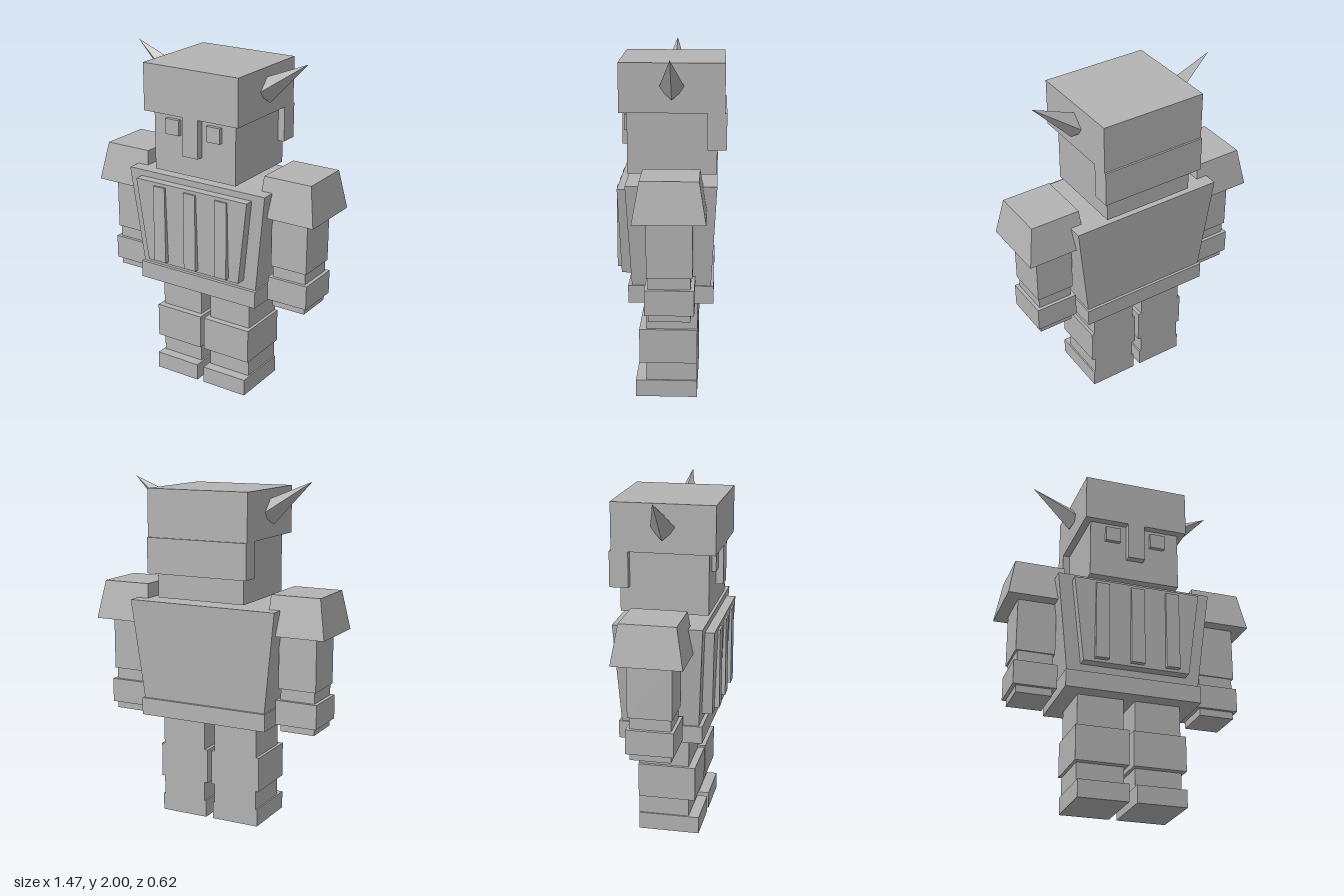
import * as THREE from 'three';

export function createModel() {
  const model = new THREE.Group();
  model.name = 'armouredFigure';
  const stone = new THREE.MeshStandardMaterial({ color: 0xb4b4b4 });
  stone.name = 'grey';

  function add(name, geometry) {
    const mesh = new THREE.Mesh(geometry, stone);
    mesh.name = name;
    model.add(mesh);
    return mesh;
  }

  // Box given by its limits on each axis
  function box(name, x0, x1, y0, y1, z0, z1) {
    const mesh = add(name, new THREE.BoxGeometry(x1 - x0, y1 - y0, z1 - z0));
    mesh.position.set((x0 + x1) / 2, (y0 + y1) / 2, (z0 + z1) / 2);
    return mesh;
  }

  // Tapered box: bottom and top rectangles as [x0, x1, z0, z1]
  function taper(name, y0, y1, bottom, top) {
    const geometry = new THREE.BoxGeometry(1, 1, 1).toNonIndexed();
    const p = geometry.attributes.position;
    for (let i = 0; i < p.count; i++) {
      const up = p.getY(i) > 0;
      const r = up ? top : bottom;
      p.setXYZ(i, p.getX(i) < 0 ? r[0] : r[1], up ? y1 : y0, p.getZ(i) < 0 ? r[2] : r[3]);
    }
    geometry.computeVertexNormals();
    return add(name, geometry);
  }

  // Same box on both sides, limits given for the +x side
  function pair(name, x0, x1, ...rest) {
    box(name + 'Left', x0, x1, ...rest);
    box(name + 'Right', -x1, -x0, ...rest);
  }

  // Head and helmet
  box('head', -0.272, 0.272, 1.33, 1.70, -0.255, 0.247);
  box('helmetCap', -0.313, 0.313, 1.68, 1.955, -0.297, 0.29);
  box('helmetBack', -0.313, 0.313, 1.475, 1.68, -0.308, -0.20);
  box('noseGuard', -0.052, 0.05, 1.455, 1.68, 0.24, 0.29);
  pair('eye', 0.092, 0.182, 1.56, 1.65, 0.24, 0.27);

  // Four-sided horns, leaning outwards
  for (const side of [1, -1]) {
    const geometry = new THREE.ConeGeometry(0.073, 0.328, 4).toNonIndexed();
    geometry.computeVertexNormals();
    const horn = add(side > 0 ? 'hornLeft' : 'hornRight', geometry);
    horn.position.set(side * 0.43, 1.908, -0.004);
    horn.rotation.z = -side * 0.972;
  }

  // Torso, breastplate and belt
  taper('torso', 0.71, 1.303, [-0.39, 0.39, -0.227, 0.217], [-0.46, 0.46, -0.258, 0.247]);
  taper('breastplate', 0.763, 1.265, [-0.313, 0.313, 0.20, 0.28], [-0.377, 0.377, 0.225, 0.298]);
  for (const x of [-0.21, 0, 0.21]) {
    box('breastplateRib', x - 0.04, x + 0.04, 0.78, 1.245, 0.25, 0.309);
  }
  box('belt', -0.40, 0.40, 0.613, 0.715, -0.243, 0.238);

  // Shoulder guards
  for (const side of [1, -1]) {
    const span = (inner, outer) => (side > 0 ? [inner, outer] : [-outer, -inner]);
    taper(side > 0 ? 'shoulderGuardLeft' : 'shoulderGuardRight', 1.16, 1.387,
      [...span(0.383, 0.733), -0.203, 0.193], [...span(0.398, 0.692), -0.164, 0.152]);
  }

  // Arms
  pair('sleeve', 0.433, 0.66, 0.845, 1.17, -0.13, 0.12);
  pair('hand', 0.443, 0.65, 0.593, 0.85, -0.12, 0.112);
  pair('gauntlet', 0.42, 0.671, 0.635, 0.778, -0.14, 0.131);

  // Legs
  pair('leg', 0.033, 0.305, 0.09, 0.62, -0.151, 0.144);
  pair('kneeGuard', 0.0125, 0.323, 0.215, 0.42, -0.151, 0.184);
  pair('boot', 0.023, 0.314, 0, 0.102, -0.151, 0.206);

  return model;
}
